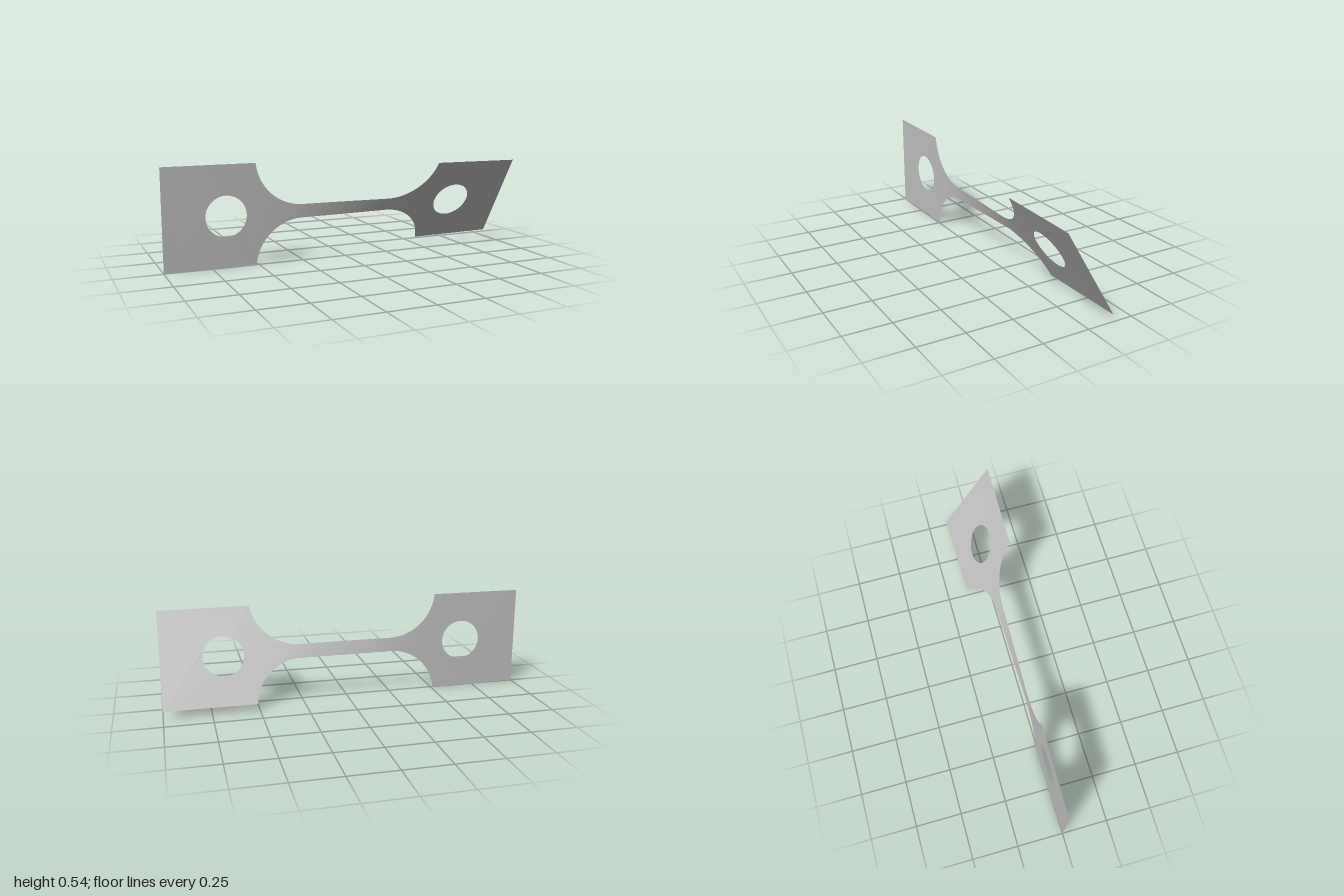
import * as THREE from 'three';

const HALF = 0.271;        // half height of the grips, also the height of the twist axis
const NECK = 0.0375;       // half height of the gauge
const SHOULDER = 0.51;     // where grips meet the fillets
const FILLET = 0.26;       // fillet radius
const NECK_END = SHOULDER - 0.2585;
const TOTAL_TWIST = THREE.MathUtils.degToRad(31);

// half height of the neck and fillets at x
function halfHeight(x) {
  const d = Math.max(0, Math.abs(x) - NECK_END);
  if (d >= 0.2585) return HALF;
  return NECK + FILLET - Math.sqrt(FILLET * FILLET - d * d);
}

// twist accumulates fastest where the strip is narrow
const STEPS = 800;
const twistTable = [0];
for (let i = 0; i < STEPS; i++) {
  const x = -1 + (2 * (i + 0.5)) / STEPS;
  twistTable.push(twistTable[i] + Math.pow(halfHeight(x), -1.2));
}
function twistAt(x) {
  const t = THREE.MathUtils.clamp((x + 1) / 2, 0, 1) * STEPS;
  const i = Math.min(STEPS - 1, Math.floor(t));
  const v = THREE.MathUtils.lerp(twistTable[i], twistTable[i + 1], t - i);
  return (v / twistTable[STEPS]) * TOTAL_TWIST;
}

// rotate each flat point about the long axis
function twist(geometry) {
  const p = geometry.attributes.position;
  for (let i = 0; i < p.count; i++) {
    const x = p.getX(i), h = p.getY(i), a = twistAt(x);
    p.setXYZ(i, x, HALF + h * Math.cos(a), h * Math.sin(a));
  }
  geometry.computeVertexNormals();
  return geometry;
}

// narrow gauge with its flared fillets
function gaugeGeometry() {
  const geometry = new THREE.PlaneGeometry(2, 2, 120, 8);
  const p = geometry.attributes.position;
  for (let i = 0; i < p.count; i++) {
    // the sine spacing crowds columns near the steep fillet ends
    const x = SHOULDER * Math.sin((p.getX(i) * Math.PI) / 2);
    p.setXY(i, x, p.getY(i) * halfHeight(x));
  }
  return twist(geometry);
}

// rectangular grip with a round hole
function gripGeometry(side) {
  const a = side * SHOULDER, b = side;
  const shape = new THREE.Shape();
  shape.moveTo(a, -HALF);
  shape.lineTo(b, -HALF);
  shape.lineTo(b, HALF);
  shape.lineTo(a, HALF);
  shape.closePath();
  const hole = new THREE.Path();
  hole.absarc(side * 0.67, 0, 0.109, 0, Math.PI * 2, true);
  shape.holes.push(hole);
  return twist(new THREE.ShapeGeometry(shape, 32));
}

export function createModel() {
  const model = new THREE.Group();
  model.name = 'twistedTestStrip';
  const steel = new THREE.MeshStandardMaterial({ color: 0xc0c0c0, side: THREE.DoubleSide });
  steel.name = 'grey steel';

  const add = (name, geometry) => {
    const mesh = new THREE.Mesh(geometry, steel);
    mesh.name = name;
    model.add(mesh);
  };
  add('gauge', gaugeGeometry());
  add('rightGrip', gripGeometry(-1));
  add('leftGrip', gripGeometry(1));
  return model;
}
